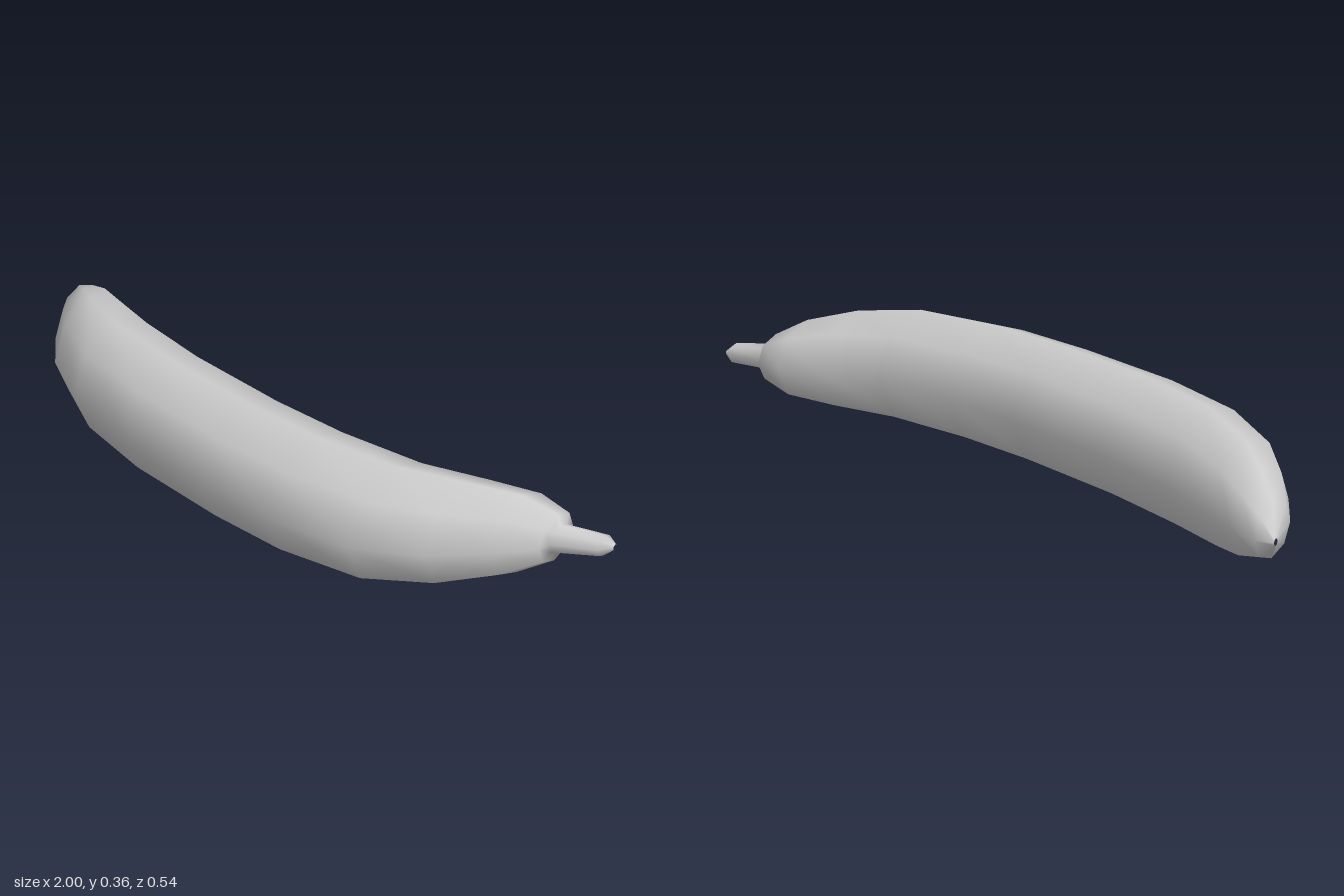
import * as THREE from 'three';

const SIDES = 8;
const MID_Y = 0.18;

// Lofts eight-sided rings [x, back z, front z, half height] and closes both ends to a point.
function loft(rings) {
  const pos = [], index = [];
  for (const [x, back, front, ry] of rings) {
    const c = (back + front) / 2, rz = (front - back) / 2;
    for (let j = 0; j < SIDES; j++) {
      const a = (j / SIDES) * Math.PI * 2;
      pos.push(x, MID_Y + ry * Math.sin(a), c + rz * Math.cos(a));
    }
  }
  for (let i = 0; i < rings.length - 1; i++) {
    for (let j = 0; j < SIDES; j++) {
      const k = (j + 1) % SIDES;
      const a = i * SIDES + j, b = i * SIDES + k;
      index.push(a, a + SIDES, b, b, a + SIDES, b + SIDES);
    }
  }
  // End caps as triangle fans
  const last = (rings.length - 1) * SIDES;
  for (let j = 1; j < SIDES - 1; j++) {
    index.push(0, j, j + 1);
    index.push(last, last + j + 1, last + j);
  }
  // Fans face outward: the first toward -x, the last toward +x
  const n = 6 * (SIDES - 2);
  const caps = index.splice(index.length - n, n);
  for (let t = 0; t < caps.length; t += 3) index.push(caps[t], caps[t + 2], caps[t + 1]);
  const geo = new THREE.BufferGeometry();
  geo.setAttribute('position', new THREE.Float32BufferAttribute(pos, 3));
  geo.setIndex(index);
  geo.computeVertexNormals();
  return geo;
}

export function createModel() {
  const group = new THREE.Group();
  group.name = 'banana';
  const material = new THREE.MeshStandardMaterial({ color: 0xcccccc });

  // Curved fruit from blossom tip to shoulder, running on into the stem
  const fruit = new THREE.Mesh(loft([
    [-1.0, -0.25, -0.235, 0.01],
    [-0.955, -0.27, -0.12, 0.075],
    [-0.87, -0.255, -0.01, 0.12],
    [-0.765, -0.215, 0.09, 0.153],
    [-0.58, -0.16, 0.187, 0.174],
    [-0.33, -0.115, 0.24, 0.18],
    [0.0, -0.09, 0.267, 0.18],
    [0.24, -0.09, 0.267, 0.18],
    [0.49, -0.12, 0.225, 0.174],
    [0.66, -0.19, 0.12, 0.155],
    [0.78, -0.25, -0.005, 0.122],
    [0.86, -0.255, -0.105, 0.073],
    // Stem
    [0.868, -0.225, -0.14, 0.042],
    [0.975, -0.265, -0.205, 0.032],
    [1.0, -0.256, -0.24, 0.008],
  ]), material);
  fruit.name = 'fruitAndStem';
  group.add(fruit);
  return group;
}
